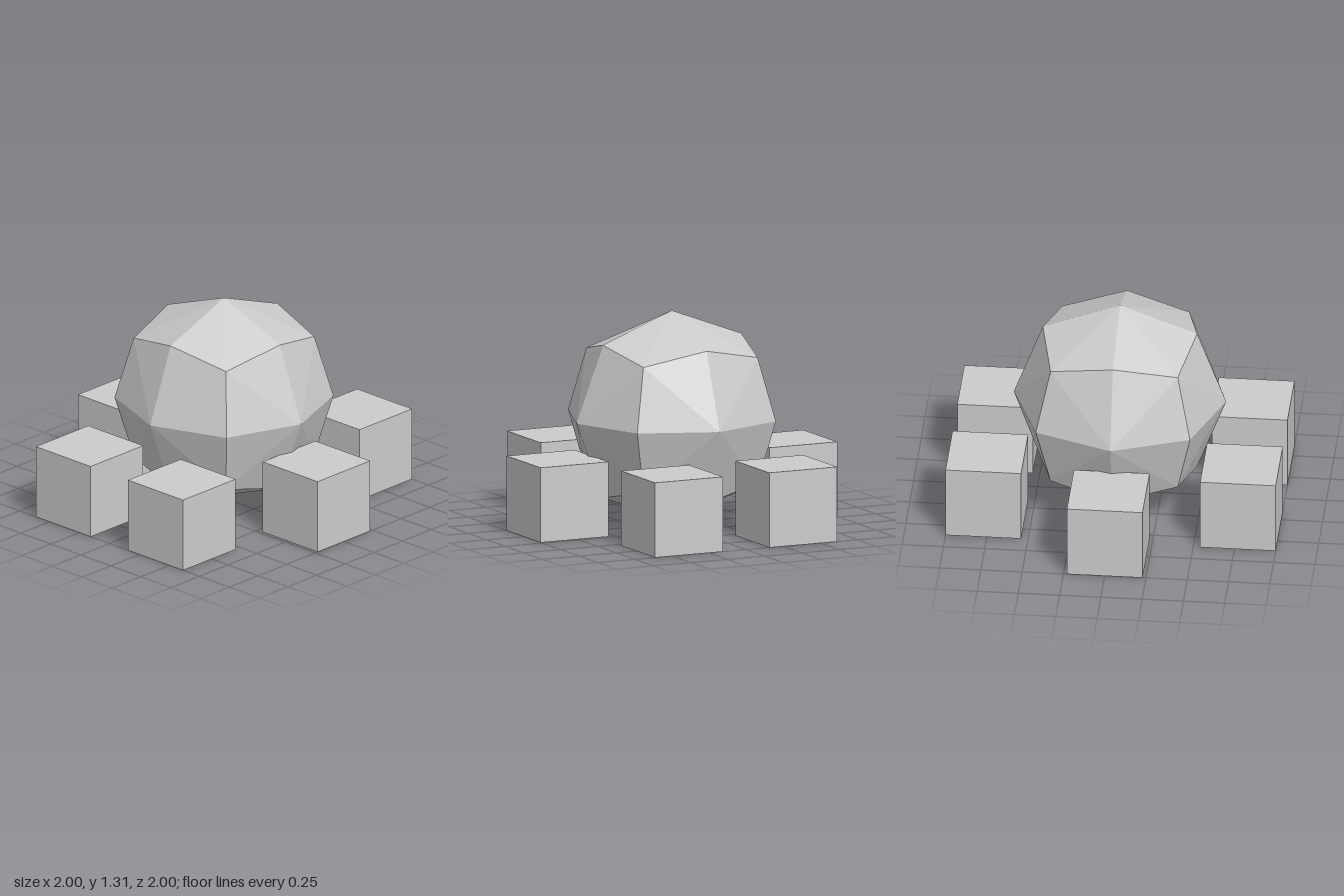
import * as THREE from 'three';
import { ConvexGeometry } from 'three/addons/geometries/ConvexGeometry.js';

export function createModel() {
  const model = new THREE.Group();
  const material = new THREE.MeshStandardMaterial({ color: 0xcccccc, flatShading: true });

  // Rounded body: a cube grid whose face centres, edge middles and corners
  // are each pushed to their own distance
  const reach = [0, 0.643, 0.467, 0.385];
  const points = [];
  for (const x of [-1, 0, 1]) {
    for (const y of [-1, 0, 1]) {
      for (const z of [-1, 0, 1]) {
        const axes = Math.abs(x) + Math.abs(y) + Math.abs(z);
        if (axes) points.push(new THREE.Vector3(x, y, z).multiplyScalar(reach[axes]));
      }
    }
  }
  const body = new THREE.Mesh(new ConvexGeometry(points), material);
  body.name = 'body';
  body.position.y = 0.663;
  model.add(body);

  // Six cube feet: a pair in front, a pair behind, one on each side
  const size = 0.458;
  const footGeometry = new THREE.BoxGeometry(size, size, size);
  const addFoot = (name, x, z) => {
    const foot = new THREE.Mesh(footGeometry, material);
    foot.name = name;
    foot.position.set(x, size / 2, z);
    model.add(foot);
  };
  for (const [side, s] of [['Left', 1], ['Right', -1]]) {
    addFoot(`front${side}Foot`, s * 0.385, 0.771);
    addFoot(`middle${side}Foot`, s * 0.771, 0);
    addFoot(`back${side}Foot`, s * 0.385, -0.771);
  }

  return model;
}
